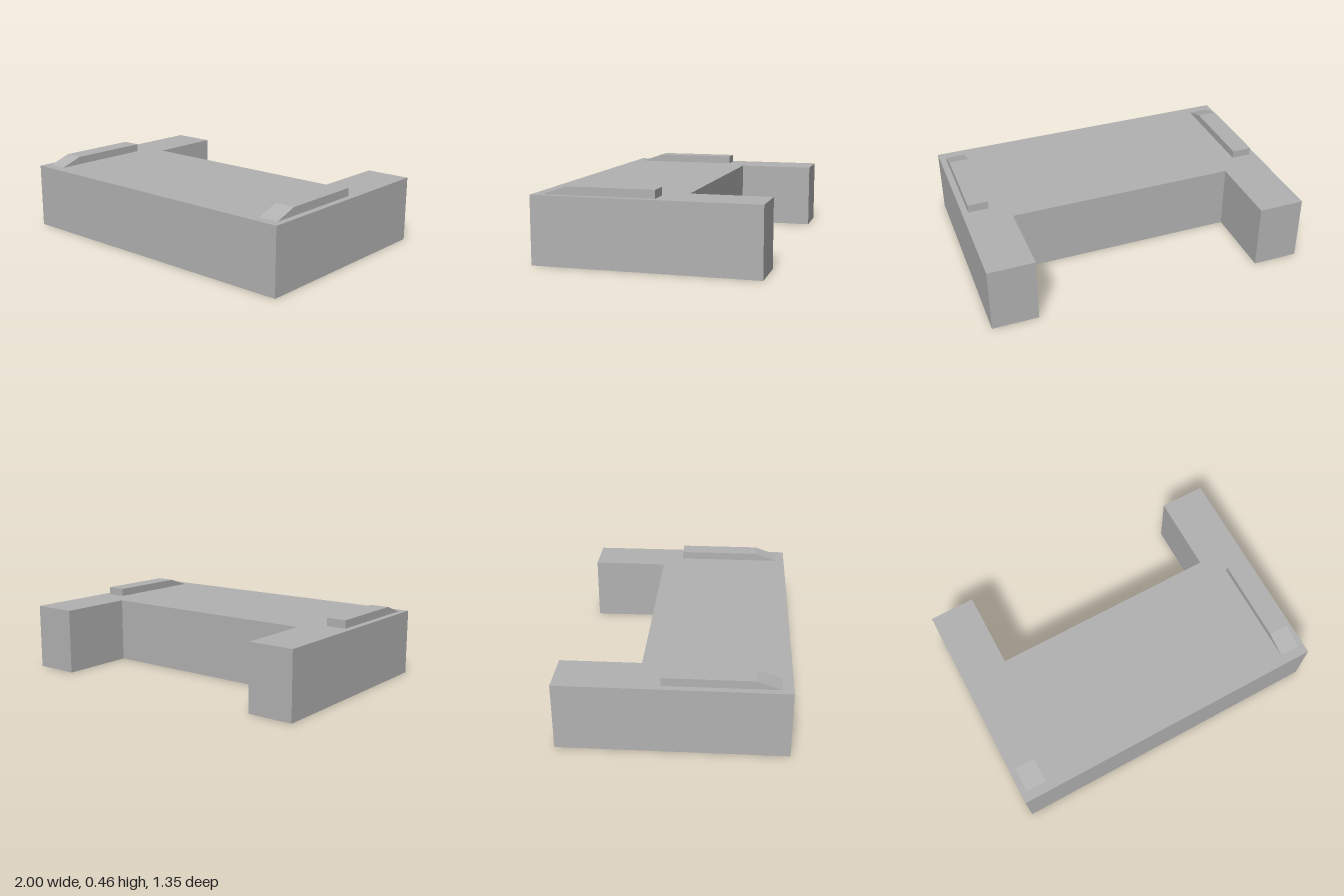
import * as THREE from 'three';

// Closed polygon extruded by depth
function prism(points, depth) {
  const shape = new THREE.Shape(points.map(([x, y]) => new THREE.Vector2(x, y)));
  return new THREE.ExtrudeGeometry(shape, { depth, bevelEnabled: false });
}

export function createModel() {
  const model = new THREE.Group();
  const grey = new THREE.MeshStandardMaterial({ color: 0xb2b2b2 });
  grey.name = 'grey';

  const height = 0.41;

  // U-shaped base, outlined as (x, -z) and extruded upwards
  const baseGeometry = prism([
    [-1, -0.673], [1, -0.673], [1, 0.673], [0.715, 0.673],
    [0.715, 0.19], [-0.715, 0.19], [-0.715, 0.673], [-1, 0.673],
  ], height);
  baseGeometry.rotateX(-Math.PI / 2);
  const base = new THREE.Mesh(baseGeometry, grey);
  base.name = 'base';
  model.add(base);

  // Raised rails with a ramp at the front, outlined as (-z, y) and extruded along x
  const railWidth = 0.125;
  const railGeometry = prism([
    [-0.613, height], [0.06, height], [0.06, 0.46], [-0.47, 0.46],
  ], railWidth);
  railGeometry.translate(0, 0, -railWidth / 2);
  railGeometry.rotateY(Math.PI / 2);
  for (const [name, side] of [['leftRail', 1], ['rightRail', -1]]) {
    const rail = new THREE.Mesh(railGeometry, grey);
    rail.name = name;
    rail.position.x = side * 0.898;
    model.add(rail);
  }

  return model;
}
